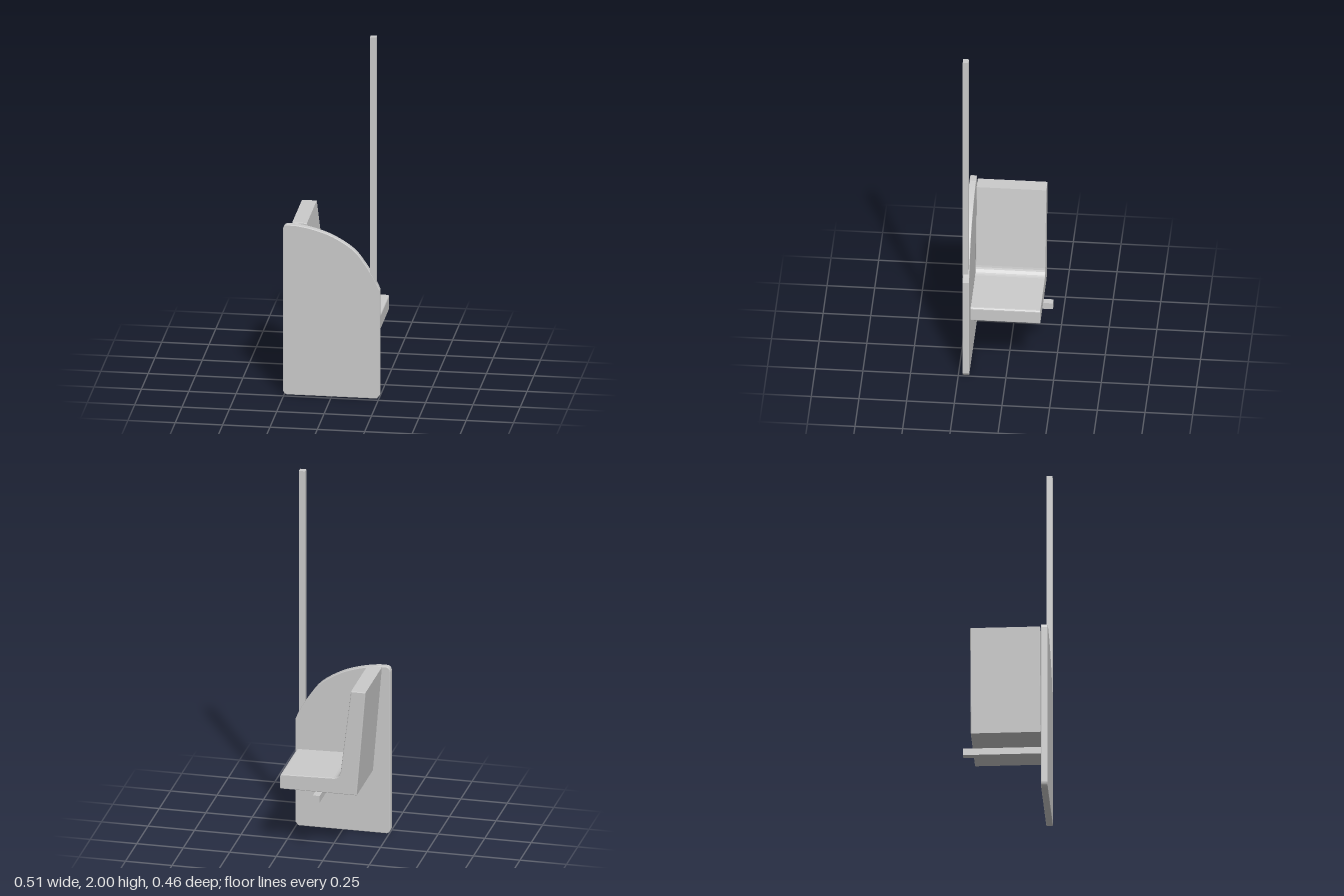
import * as THREE from 'three';

const material = new THREE.MeshStandardMaterial({ color: 0xcccccc, flatShading: true });

function addMesh(group, name, geometry) {
  const mesh = new THREE.Mesh(geometry, material);
  mesh.name = name;
  group.add(mesh);
  return mesh;
}

// Box given by its limits on each axis
function addBox(group, name, [x0, x1], [y0, y1], [z0, z1]) {
  const mesh = addMesh(group, name, new THREE.BoxGeometry(x1 - x0, y1 - y0, z1 - z0));
  mesh.position.set((x0 + x1) / 2, (y0 + y1) / 2, (z0 + z1) / 2);
}

// Side outline extruded from z0 to z1 with softened rims; the bevel stays inside the outline
function slab(shape, z0, z1, bevel) {
  const geometry = new THREE.ExtrudeGeometry(shape, {
    depth: z1 - z0 - 2 * bevel, curveSegments: 6,
    bevelEnabled: true, bevelThickness: bevel, bevelSize: bevel, bevelOffset: -bevel, bevelSegments: 2,
  });
  geometry.translate(0, 0, z0 + bevel);
  return geometry;
}

export function createModel() {
  const group = new THREE.Group();
  group.name = 'sideMountedSeat';

  // Side panel with a top that curves down to the pole
  const panel = new THREE.Shape();
  panel.moveTo(-0.235, 0);
  panel.lineTo(0.24, 0);
  panel.lineTo(0.255, 0.02);
  panel.lineTo(0.255, 0.6);
  panel.splineThru([[0.23, 0.655], [0.18, 0.738], [0.116, 0.818], [0.01, 0.885], [-0.095, 0.922], [-0.19, 0.94]]
    .map(([x, y]) => new THREE.Vector2(x, y)));
  panel.lineTo(-0.235, 0.94);
  panel.quadraticCurveTo(-0.253, 0.938, -0.257, 0.915);
  panel.lineTo(-0.257, 0.025);
  panel.quadraticCurveTo(-0.253, 0.003, -0.235, 0);
  addMesh(group, 'sidePanel', slab(panel, 0.193, 0.228, 0.004));

  // One-piece seat and reclined backrest
  const seat = new THREE.Shape();
  seat.moveTo(-0.165, 0.355);
  seat.lineTo(0.24, 0.355);
  seat.quadraticCurveTo(0.247, 0.355, 0.247, 0.362);
  seat.lineTo(0.247, 0.425);
  seat.quadraticCurveTo(0.247, 0.435, 0.235, 0.436);
  seat.lineTo(-0.04, 0.442);
  seat.quadraticCurveTo(-0.074, 0.444, -0.079, 0.48);
  seat.lineTo(-0.135, 0.94);
  seat.lineTo(-0.213, 0.94);
  seat.closePath();
  addMesh(group, 'seat', slab(seat, -0.18, 0.187, 0.004));

  // Bar under the seat, fixed to the panel
  addBox(group, 'supportBar', [0.021, 0.058], [0.318, 0.355], [-0.231, 0.2]);

  // Upright pole rising from the panel
  addBox(group, 'pole', [0.203, 0.237], [0.6, 2], [0.197, 0.2275]);

  return group;
}
